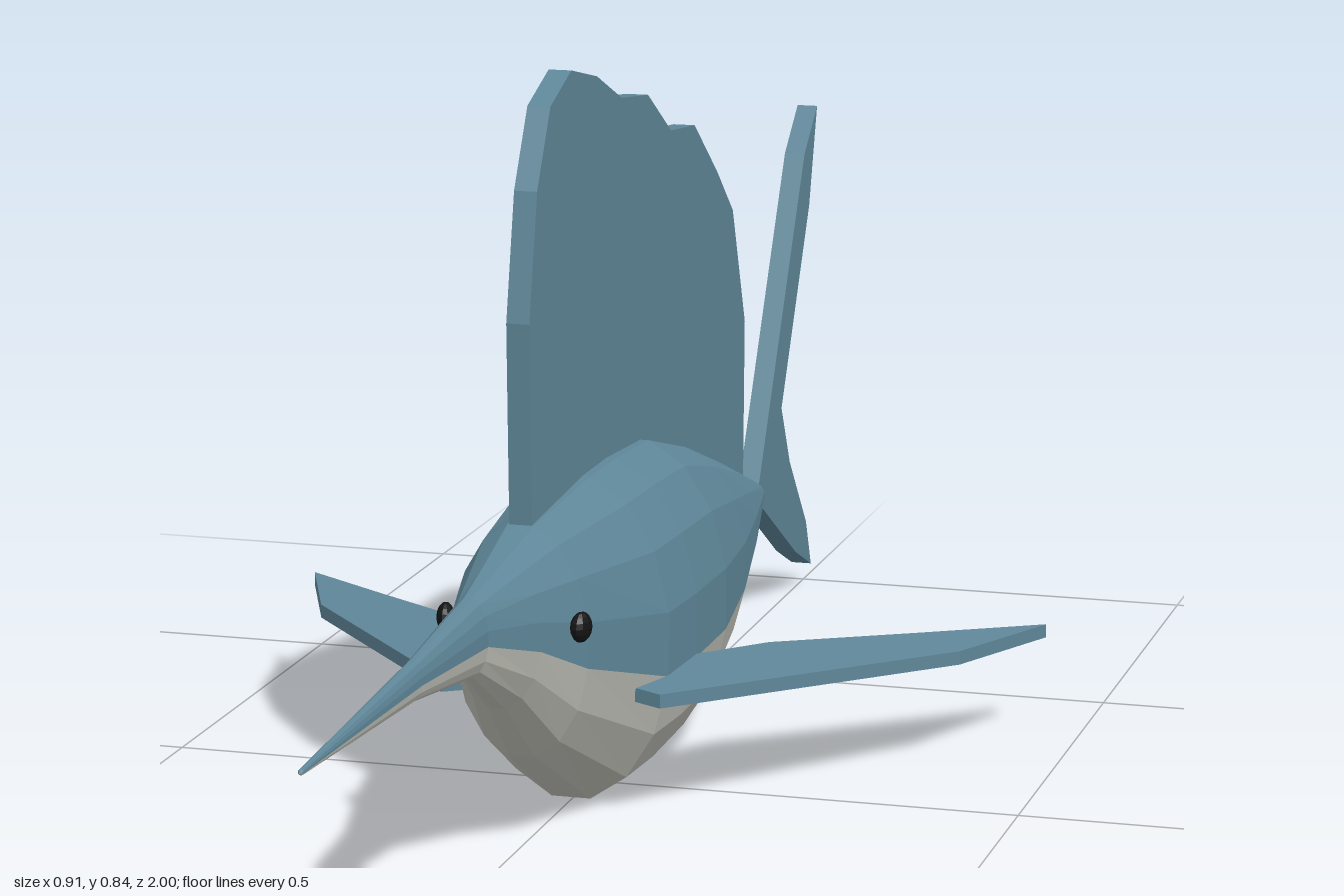
import * as THREE from 'three';

const SIDES = 16;

// Body stations from bill tip to tail root: z, top y, bottom y, half width
const STATIONS = [
  [1.0, 0.286, 0.286, 0], [0.995, 0.289, 0.283, 0.003], [0.65, 0.31, 0.267, 0.011],
  [0.46, 0.33, 0.243, 0.022], [0.36, 0.348, 0.183, 0.05], [0.27, 0.366, 0.105, 0.076],
  [0.08, 0.379, 0.005, 0.115], [-0.02, 0.379, 0.002, 0.12], [-0.16, 0.37, 0.004, 0.117],
  [-0.34, 0.323, 0.042, 0.093], [-0.53, 0.262, 0.104, 0.058], [-0.72, 0.197, 0.162, 0.018],
  [-0.725, 0.18, 0.18, 0],
];

// Point on a station's elliptical ring; half-step offset gives flat sides
function ringPoint([z, top, bottom, width], j) {
  const a = ((j - 0.5) / SIDES) * Math.PI * 2;
  const k = 1 / Math.cos(Math.PI / SIDES);
  return [
    Math.cos(a) * width * k,
    (top + bottom) / 2 + (Math.sin(a) * (top - bottom) * k) / 2,
    z,
  ];
}

// Strip of the body between ring vertices from..to
function bodyPanel(from, to) {
  const pos = [];
  for (let i = 0; i < STATIONS.length - 1; i++) {
    for (let j = from; j < to; j++) {
      const a = ringPoint(STATIONS[i], j), b = ringPoint(STATIONS[i], j + 1);
      const d = ringPoint(STATIONS[i + 1], j), c = ringPoint(STATIONS[i + 1], j + 1);
      if (i > 0) pos.push(...a, ...d, ...b);
      if (i < STATIONS.length - 2) pos.push(...b, ...d, ...c);
    }
  }
  const g = new THREE.BufferGeometry();
  g.setAttribute('position', new THREE.Float32BufferAttribute(pos, 3));
  g.computeVertexNormals();
  return g;
}

function slab(points, depth) {
  const shape = new THREE.Shape(points.map(([x, y]) => new THREE.Vector2(x, y)));
  return new THREE.ExtrudeGeometry(shape, { depth, bevelEnabled: false }).translate(0, 0, -depth / 2);
}

// Upright fin on the centre plane, outlined in (z, y)
const uprightFin = (points) => slab(points, 0.026).rotateY(-Math.PI / 2);

export function createModel() {
  const group = new THREE.Group();
  const material = (name, color) => {
    const m = new THREE.MeshStandardMaterial({ color, flatShading: true });
    m.name = name;
    return m;
  };
  const blue = material('blue skin', 0x5f8799);
  const pale = material('pale belly', 0xc2c2ba);
  const black = material('black eye', 0x141414);
  const add = (name, geometry, mat) => {
    const mesh = new THREE.Mesh(geometry, mat);
    mesh.name = name;
    group.add(mesh);
    return mesh;
  };

  // Body with bill
  add('back', bodyPanel(0, 9), blue);
  add('belly', bodyPanel(9, 16), pale);

  // Fins on the centre plane
  add('sail', uprightFin([
    [0.27, 0.33], [0.28, 0.59], [0.25, 0.73], [0.2, 0.815], [0.12, 0.843], [0.02, 0.822],
    [-0.08, 0.783], [-0.19, 0.77], [-0.29, 0.713], [-0.395, 0.703], [-0.5, 0.63],
    [-0.575, 0.57], [-0.636, 0.42], [-0.632, 0.2], [-0.4, 0.24], [0, 0.3],
  ]), blue);
  add('tailFin', uprightFin([
    [-0.7, 0.185], [-0.715, 0.2], [-0.935, 0.582], [-1, 0.635], [-0.962, 0.51], [-0.825, 0.27],
    [-0.87, 0.19], [-0.96, 0.09], [-0.988, 0.027], [-0.905, 0.062], [-0.73, 0.16],
  ]), blue);
  add('analFin', uprightFin([
    [-0.38, 0.1], [-0.42, 0.043], [-0.51, 0.054], [-0.585, 0.035], [-0.636, 0.085],
    [-0.575, 0.115], [-0.55, 0.14],
  ]), blue);

  for (const side of [1, -1]) {
    const label = side > 0 ? 'left' : 'right';

    // Swept pectoral fin, outlined in (x, z) and drooping outward
    const fin = slab([
      [0.095, 0.15], [0.127, 0.162], [0.39, -0.185], [0.457, -0.354],
      [0.33, -0.24], [0.182, -0.11], [0.12, -0.02], [0.095, 0.03],
    ].map(([x, z]) => [x * side, z]), 0.016).rotateX(Math.PI / 2);
    const p = fin.attributes.position;
    for (let i = 0; i < p.count; i++) {
      p.setY(i, p.getY(i) + 0.157 - 0.07 * Math.abs(p.getX(i)));
    }
    fin.computeVertexNormals();
    add(label + 'PectoralFin', fin, blue);

    // Eye
    const eye = add(label + 'Eye', new THREE.SphereGeometry(0.017, 10, 8), black);
    eye.scale.x = 0.6;
    eye.position.set(0.077 * side, 0.264, 0.3);
    eye.rotation.y = -0.25 * side;
  }

  return group;
}
